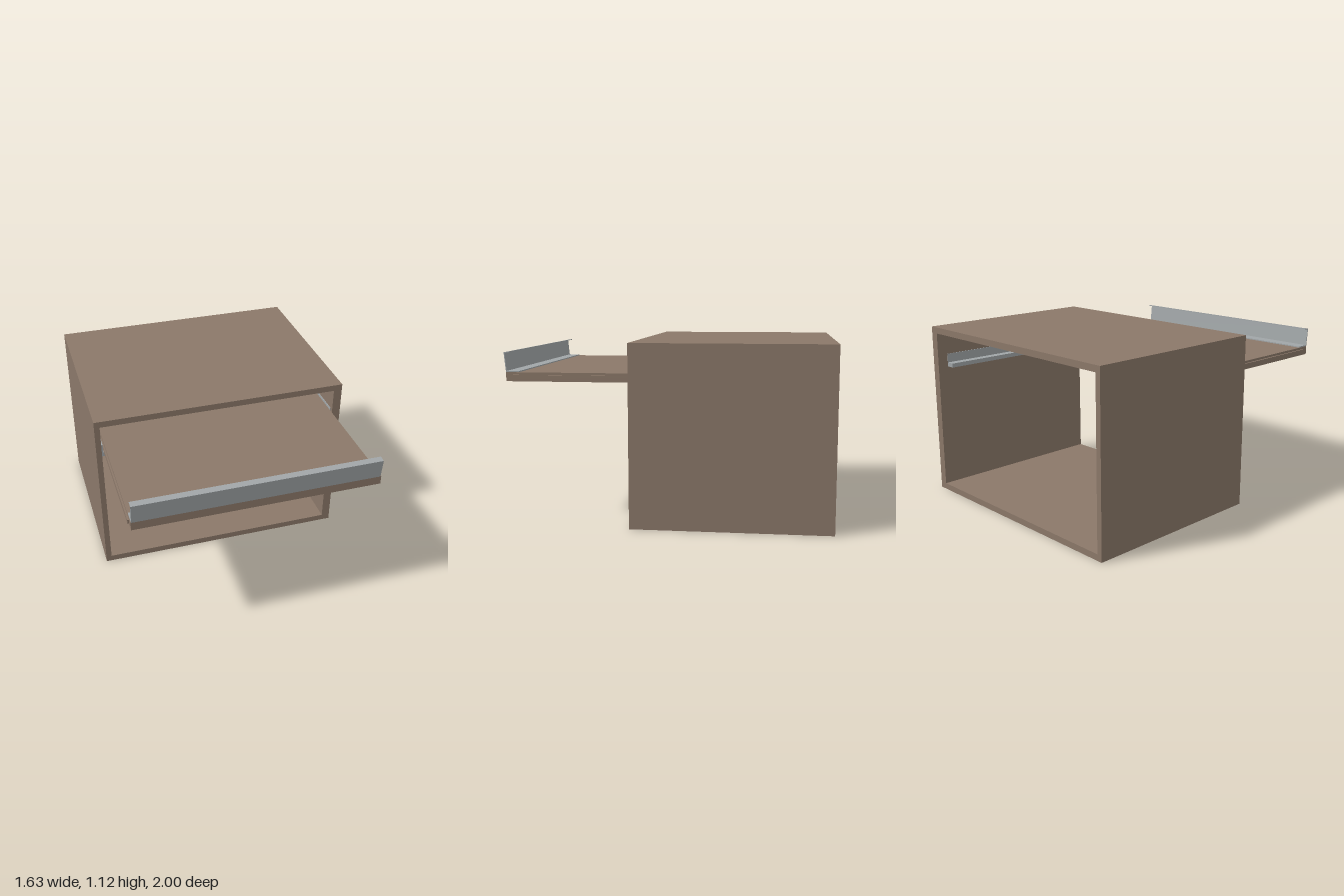
import * as THREE from 'three';

const wood = new THREE.MeshStandardMaterial({ color: 0x8b7869 });
wood.name = 'brown wood';
const metal = new THREE.MeshStandardMaterial({ color: 0xa1a6a8 });
metal.name = 'grey metal';

// Box given by its extents on each axis
function box(name, material, [x0, x1], [y0, y1], [z0, z1]) {
  const mesh = new THREE.Mesh(new THREE.BoxGeometry(x1 - x0, y1 - y0, z1 - z0), material);
  mesh.position.set((x0 + x1) / 2, (y0 + y1) / 2, (z0 + z1) / 2);
  mesh.name = name;
  return mesh;
}

function polygon(points, Type = THREE.Shape) {
  return new Type(points.map(([x, y]) => new THREE.Vector2(x, y)));
}

const corners = (x0, x1, y0, y1) => [[x0, y0], [x1, y0], [x1, y1], [x0, y1]];

// Rectangular ring extruded along +z
function frame(outer, inner, depth) {
  const shape = polygon(corners(...outer));
  shape.holes.push(polygon(corners(...inner).reverse(), THREE.Path));
  return new THREE.ExtrudeGeometry(shape, { depth, bevelEnabled: false });
}

export function createModel() {
  const model = new THREE.Group();
  model.name = 'cabinetWithPullOutTray';

  // Cabinet shell, open at front and back
  const shell = new THREE.Mesh(frame([-0.815, 0.815, 0, 1.12], [-0.78, 0.76, 0.04, 1.08], 1.225), wood);
  shell.position.z = -1;
  shell.name = 'cabinetShell';
  model.add(shell);

  // Tray: top panel over a hollow frame
  const tray = new THREE.Group();
  tray.name = 'tray';
  const xs = [-0.757, 0.745], zs = [-0.03, 0.985], rim = 0.06;
  tray.add(box('trayPanel', wood, xs, [0.915, 0.935], zs));
  const rimMesh = new THREE.Mesh(
    frame([...xs, -zs[1], -zs[0]], [xs[0] + rim, xs[1] - rim, -zs[1] + rim, -zs[0] - rim], 0.035), wood);
  rimMesh.rotation.x = -Math.PI / 2;
  rimMesh.position.y = 0.88;
  rimMesh.name = 'trayFrame';
  tray.add(rimMesh);

  // Slide strips on the tray sides
  tray.add(box('rightSlideStrip', wood, [xs[0] - 0.01, xs[0]], [0.893, 0.92], [zs[0], 0.94]));
  tray.add(box('leftSlideStrip', wood, [xs[1], xs[1] + 0.01], [0.893, 0.92], [zs[0], 0.94]));

  // Bent metal lip along the front edge, profile drawn in (-z, y)
  const lipShape = polygon([
    [-0.905, 0.935], [-0.988, 0.935], [-1, 1.055], [-0.962, 1.061],
    [-0.962, 1.056], [-0.994, 1.05], [-0.983, 0.942], [-0.905, 0.942],
  ]);
  const lip = new THREE.Mesh(
    new THREE.ExtrudeGeometry(lipShape, { depth: 1.493, bevelEnabled: false }), metal);
  lip.rotation.y = Math.PI / 2;
  lip.position.x = -0.755;
  lip.name = 'frontLip';
  tray.add(lip);
  model.add(tray);

  // L-shaped runners fixed to the inner walls
  for (const [side, wall, inward] of [['right', -0.78, 1], ['left', 0.76, -1]]) {
    const span = (w) => [wall, wall + inward * w].sort((a, b) => a - b);
    const runner = new THREE.Group();
    runner.name = side + 'Runner';
    runner.add(box('runnerLedge', metal, span(0.057), [0.85, 0.877], [-0.93, 0.2]));
    runner.add(box('runnerWeb', metal, span(inward > 0 ? 0.012 : 0.004), [0.877, 0.935], [-0.93, 0.2]));
    model.add(runner);
  }
  return model;
}
